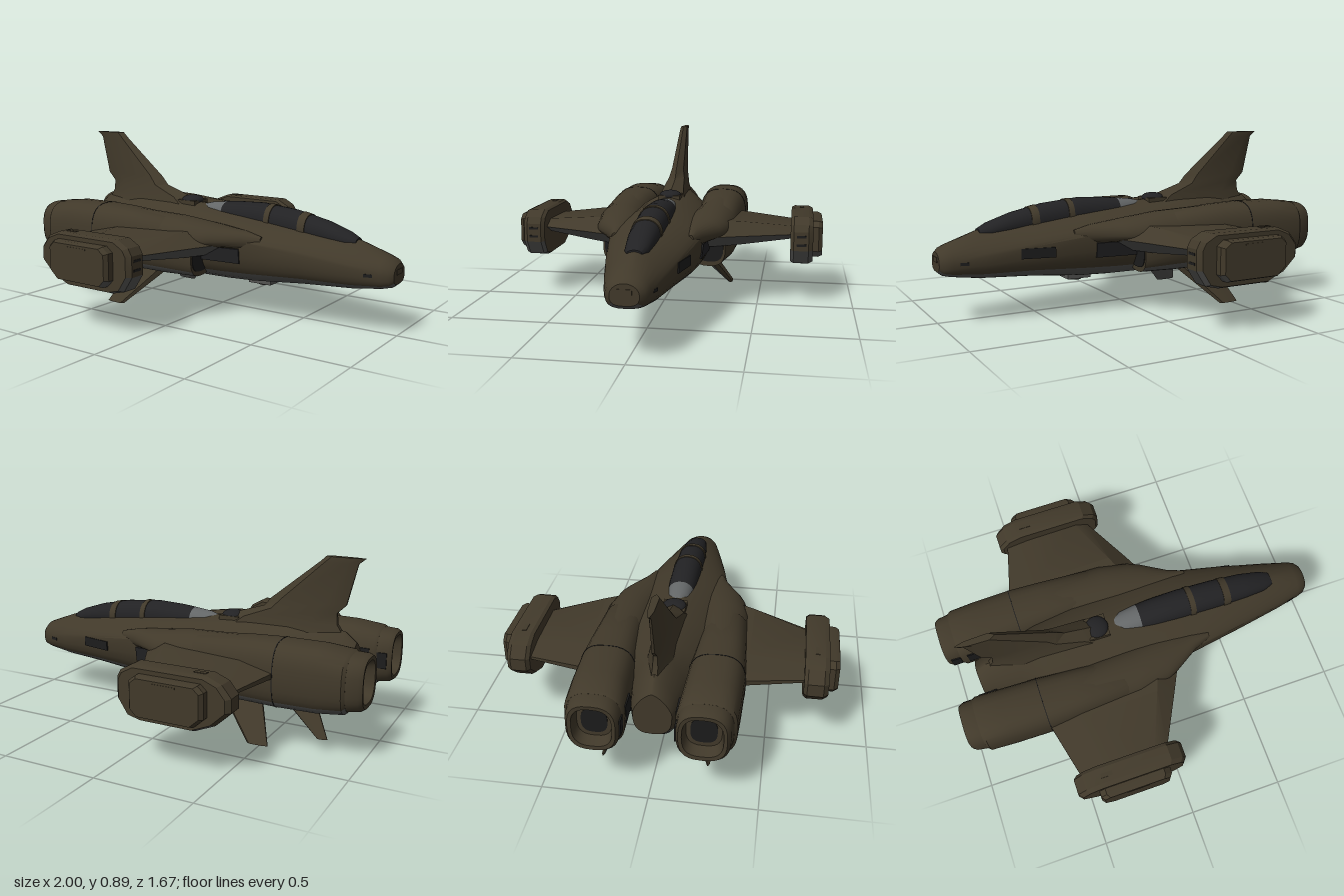
import * as THREE from 'three';
import { toCreasedNormals } from 'three/addons/utils/BufferGeometryUtils.js';

const mat = (name, color) => {
  const m = new THREE.MeshStandardMaterial({ color });
  m.name = name;
  return m;
};

// Skin rings of [x,y,z] points, cap the ends; segments picked by isUnder use the second material
function loft(rings, isUnder = () => false, crease = 0.6) {
  const n = rings[0].length, pos = rings.flat(2), main = [], under = [];
  rings.slice(1).forEach((_, i) => {
    for (let j = 0; j < n; j++) {
      const k = (j + 1) % n, a = i * n + j, b = i * n + k, c = a + n, d = b + n;
      (isUnder(j) ? under : main).push(a, b, c, b, d, c);
    }
  });
  [0, rings.length - 1].forEach((r, e) => {
    const hub = pos.length / 3;
    for (let ax = 0; ax < 3; ax++) pos.push(rings[r].reduce((s, p) => s + p[ax], 0) / n);
    for (let j = 0; j < n; j++) {
      const a = r * n + j, b = r * n + (j + 1) % n;
      main.push(hub, e ? a : b, e ? b : a);
    }
  });
  const index = [...main, ...under];
  // Turn the faces outward if the enclosed volume is negative
  const v = i => new THREE.Vector3().fromArray(pos, i * 3);
  let vol = 0;
  for (let i = 0; i < index.length; i += 3) vol += v(index[i]).dot(v(index[i + 1]).cross(v(index[i + 2])));
  if (vol < 0) for (let i = 0; i < index.length; i += 3) [index[i], index[i + 1]] = [index[i + 1], index[i]];
  const g = new THREE.BufferGeometry();
  g.setAttribute('position', new THREE.Float32BufferAttribute(pos, 3));
  g.setIndex(index);
  g.addGroup(0, main.length, 0);
  g.addGroup(main.length, under.length, 1);
  return toCreasedNormals(g, crease);
}

// Rounded cross-section across the x axis
const SIDES = 28;
function section(x, top, bot, mid, hw, zc = 0, nTop = 2, nBot = 2) {
  return Array.from({ length: SIDES }, (_, j) => {
    const t = j / SIDES * Math.PI * 2, c = Math.cos(t), s = Math.sin(t), n = s > 0 ? nTop : nBot;
    const p = v => Math.sign(v) * Math.abs(v) ** (2 / n);
    return [x, mid + p(s) * (s > 0 ? top - mid : mid - bot), zc + p(c) * hw];
  });
}
const belly = j => Math.sin((j + 0.5) / SIDES * Math.PI * 2) < -0.64;

// Wing or fin from rows of [front x, back x, y, z, half thickness in y, in z]
function blade(rows, isUnder) {
  return loft(rows.map(([f, b, y, z, dy, dz]) => {
    const L = f - b;
    return [[f, 0], [f - 0.15 * L, 1], [b + 0.25 * L, 0.8], [b, 0.2], [b, -0.2], [b + 0.25 * L, -0.8], [f - 0.15 * L, -1]]
      .map(([x, k]) => [x, y + k * dy, z + k * dz]);
  }), isUnder, 0.5);
}

export function createModel() {
  const olive = mat('olive paint', 0x41392a), grey = mat('underside grey', 0x545452);
  const glass = mat('dark glass', 0x222224), pale = mat('pale grey', 0x646768), black = mat('nozzle black', 0x1c1c1c);
  const skin = [olive, grey];
  const root = new THREE.Group();
  root.name = 'spacecraft';
  const add = (name, geo, material, parent = root) => {
    const m = new THREE.Mesh(geo, material);
    m.name = name;
    parent.add(m);
    return m;
  };
  const box = (name, material, parent, [w, h, d], [x, y, z]) => {
    const m = add(name, new THREE.BoxGeometry(w, h, d), material, parent);
    m.position.set(x, y, z);
    return m;
  };

  // Hull: x, top, bottom, widest height, half width
  add('hull', loft([
    [1, 0.352, 0.255, 0.3, 0.065], [0.98, 0.372, 0.238, 0.3, 0.088], [0.94, 0.388, 0.228, 0.305, 0.102],
    [0.8, 0.44, 0.21, 0.33, 0.135], [0.55, 0.475, 0.198, 0.37, 0.185], [0.28, 0.505, 0.175, 0.405, 0.232],
    [0.13, 0.52, 0.17, 0.405, 0.245], [0, 0.53, 0.17, 0.4, 0.25], [-0.3, 0.55, 0.17, 0.39, 0.24],
    [-0.52, 0.555, 0.172, 0.385, 0.19], [-0.65, 0.55, 0.18, 0.38, 0.13], [-0.8, 0.53, 0.21, 0.38, 0.108],
    [-0.86, 0.48, 0.26, 0.37, 0.09],
  ].map(([x, t, b, m, w]) => section(x, t, b, m, w, 0, x > 0.9 ? 2 : 1.45, 2.9)), belly), skin);
  box('noseSlot', olive, root, [0.008, 0.025, 0.065], [0.999, 0.315, 0]);

  // Dark hatch on one flank of the nose
  const hatch = box('flankHatch', black, root, [0.17, 0.05, 0.009], [0.545, 0.335, -0.185]);
  hatch.rotation.y = -0.19;

  // Canopy: x, top, half width
  const canopy = [[0.79, 0.448, 0.035], [0.74, 0.475, 0.055], [0.62, 0.515, 0.068], [0.45, 0.552, 0.075],
    [0.25, 0.571, 0.078], [0.1, 0.565, 0.075], [0.03, 0.558, 0.07], [-0.06, 0.548, 0.06], [-0.11, 0.535, 0.035]];
  const canopyRing = (x, grow = 0) => {
    const i = Math.max(0, canopy.findIndex((p, k) => k < canopy.length - 1 && p[0] >= x && canopy[k + 1][0] <= x));
    const a = canopy[i], b = canopy[i + 1], k = (a[0] - x) / (a[0] - b[0]);
    const base = 0.485 - 0.09 * Math.max(0, x - 0.25);
    return section(x, a[1] + (b[1] - a[1]) * k + grow, 0.4, Math.min(base, a[1] - 0.02), a[2] + (b[2] - a[2]) * k + grow, 0, 2.2);
  };
  add('canopyGlass', loft(canopy.slice(0, 7).map(p => canopyRing(p[0]))), glass);
  add('canopyTail', loft(canopy.slice(6).map(p => canopyRing(p[0]))), pale);
  for (const [a, b] of [[0.33, 0.3], [0.53, 0.49]])
    add('canopyFrame', loft([canopyRing(a, 0.004), canopyRing(b, 0.004)]), olive);

  // Sensor dome on the spine
  box('domeBase', olive, root, [0.11, 0.03, 0.12], [-0.2, 0.535, 0]);
  const dome = add('sensorDome', new THREE.SphereGeometry(0.06, 24, 12), glass);
  dome.scale.y = 0.45;
  dome.position.set(-0.2, 0.547, 0);

  // Tail fin
  add('tailFin', blade([
    [-0.1, -0.8, 0.5, 0, 0, 0.08], [-0.2, -0.76, 0.56, 0, 0, 0.06], [-0.37, -0.755, 0.615, 0, 0, 0.045],
    [-0.41, -0.8, 0.66, 0, 0, 0.034], [-0.66, -0.85, 0.865, 0, 0, 0.021], [-0.69, -0.885, 0.893, 0, 0, 0.018],
  ]), olive);

  // Chin sensor
  box('chinMount', grey, root, [0.13, 0.03, 0.12], [0.27, 0.172, 0]);
  const chin = add('chinSensor', new THREE.CylinderGeometry(0.045, 0.035, 0.03, 20), grey);
  chin.position.set(0.27, 0.16, 0);

  for (const s of [1, -1]) {
    const side = new THREE.Group();
    side.name = s > 0 ? 'nearSide' : 'farSide';
    root.add(side);

    // Engine nacelle: x, z centre, y centre, half width, half height
    const tube = (rows, flare = 2.8) => rows.map(([x, z, y, w, h]) => section(x, y + h, y - h, y, w, z * s, flare, flare));
    add('engine', loft(tube([
      [0.03, 0.245, 0.305, 0.085, 0.1], [-0.15, 0.262, 0.355, 0.115, 0.15], [-0.42, 0.262, 0.366, 0.127, 0.16],
      [-0.58, 0.26, 0.367, 0.136, 0.165], [-0.78, 0.255, 0.367, 0.138, 0.163], [-0.91, 0.25, 0.367, 0.138, 0.148],
      [-0.925, 0.248, 0.37, 0.127, 0.137],
    ]), belly), skin, side);
    // Hollow nozzle with a dark exhaust plate inside
    add('nozzle', loft(tube([
      [-0.92, 0.248, 0.37, 0.127, 0.137], [-0.98, 0.245, 0.373, 0.121, 0.131], [-1, 0.244, 0.375, 0.108, 0.119],
      [-0.998, 0.244, 0.375, 0.092, 0.1], [-0.94, 0.244, 0.375, 0.08, 0.085],
    ])), olive, side);
    add('exhaust', loft(tube([[-0.935, 0.244, 0.375, 0.06, 0.063], [-0.944, 0.244, 0.375, 0.06, 0.063]])), black, side);
    add('engineSeam', loft(tube([[-0.58, 0.26, 0.367, 0.1375, 0.1665], [-0.584, 0.26, 0.367, 0.1375, 0.1665]])), black, side);
    for (const [x, y, z, w, h] of [[-0.84, 0.38, 0.116, 0.1, 0.09], [-0.75, 0.34, 0.116, 0.05, 0.06], [-0.952, 0.37, 0.1225, 0.05, 0.08]])
      box('innerPanel', black, side, [w, h, 0.009], [x, y, z * s]);

    // Shoulder fairing running from the nacelle forward into the hull
    add('shoulderFairing', loft([
      [0.36, 0.435, 0.37, 0.408, 0.015, 0.19], [0.27, 0.455, 0.36, 0.408, 0.05, 0.19], [0.14, 0.475, 0.365, 0.405, 0.105, 0.215],
      [0.08, 0.485, 0.355, 0.4, 0.12, 0.227], [-0.08, 0.508, 0.3, 0.39, 0.13, 0.248], [-0.42, 0.524, 0.25, 0.37, 0.127, 0.262],
    ].map(([x, t, b, m, w, z]) => section(x, t, b, m, w, z * s, 2.1, 2))), olive, side);

    // Air intake and the dark recess ahead of it
    add('intakeMouth', loft(tube([[0.026, 0.25, 0.305, 0.07, 0.075], [0.034, 0.25, 0.305, 0.07, 0.075]])), black, side);
    const recess = box('intakeRecess', glass, side, [0.23, 0.075, 0.009], [0.14, 0.33, 0.239 * s]);
    recess.rotation.set(0.13 * s, 0.06 * s, 0);

    // Wing
    add('wing', blade([
      [0.19, -0.62, 0.385, 0.22 * s, 0.07, 0], [0.13, -0.59, 0.383, 0.33 * s, 0.067, 0],
      [0.095, -0.58, 0.382, 0.4 * s, 0.063, 0], [-0.055, -0.51, 0.373, 0.69 * s, 0.033, 0],
    ], j => j >= 4), skin, side);

    // Wingtip pod with a raised outer housing
    const outline = [[-0.555, 0.32], [-0.555, 0.385], [-0.51, 0.44], [-0.44, 0.468], [-0.06, 0.468], [0.0, 0.435],
      [0.02, 0.4], [0.02, 0.3], [-0.03, 0.225], [-0.1, 0.208], [-0.38, 0.208], [-0.48, 0.25]];
    const housing = [[-0.45, 0.29], [-0.45, 0.41], [-0.42, 0.438], [-0.11, 0.438], [-0.075, 0.41], [-0.075, 0.28],
      [-0.11, 0.245], [-0.4, 0.245]];
    const slab = (pts, cx, cy, steps) => steps.map(([z, k]) =>
      pts.map(([x, y]) => [cx + (x - cx) * k, cy + (y - cy) * k, z * s]));
    add('wingtipPod', loft(slab(outline, -0.26, 0.338, [[0.668, 0.94], [0.685, 1], [0.762, 1], [0.785, 0.93]]), j => j >= 7 && j <= 10, 0.4), skin, side);
    add('podHousing', loft(slab(housing, -0.26, 0.34, [[0.76, 1], [0.815, 1], [0.835, 0.92]]), j => j >= 5 && j <= 6, 0.4), skin, side);
    box('podHatch', olive, side, [0.06, 0.006, 0.022], [-0.39, 0.468, 0.725 * s]);
    box('podHandle', olive, side, [0.12, 0.008, 0.006], [-0.26, 0.415, 0.834 * s]);
    for (const y of [0.33, 0.375]) box('podSlot', black, side, [0.008, 0.012, 0.05], [0.018, y, 0.725 * s]);

    // Ventral fins, front then rear
    add('ventralFin', blade([
      [-0.22, -0.45, 0.2, 0.19 * s, 0, 0.035 * s], [-0.43, -0.54, 0, 0.322 * s, 0, 0.012 * s],
    ], j => j >= 4), skin, side);
    add('rearVentralFin', blade([
      [-0.53, -0.72, 0.235, 0.18 * s, 0, 0.03 * s], [-0.76, -0.815, 0.06, 0.25 * s, 0, 0.01 * s],
    ], j => j >= 4), skin, side);

    // Nose thruster port
    const port = box('nosePort', black, side, [0.04, 0.015, 0.008], [0.89, 0.3, 0.111 * s]);
    port.rotation.y = 0.26 * s;
  }
  return root;
}
